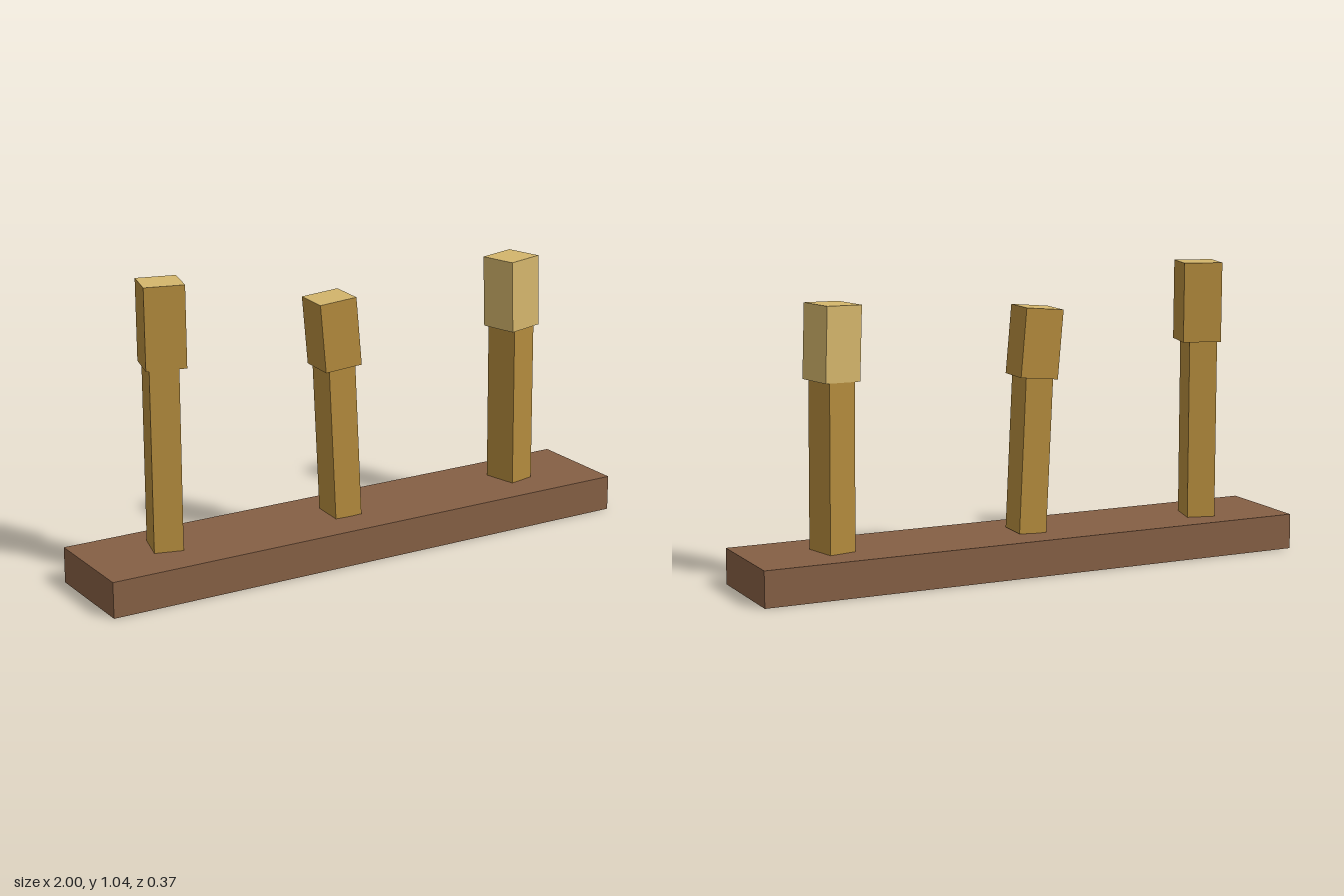
import * as THREE from 'three';

const mat = (name, color) =>
  new THREE.MeshStandardMaterial({ name, color, side: THREE.DoubleSide });

// Box standing on its own origin, open at the bottom; group 0 = sides, group 1 = top
function openBox(w, h, d) {
  const geo = new THREE.BoxGeometry(w, h, d).translate(0, h / 2, 0);
  const idx = Array.from(geo.index.array);
  idx.splice(18, 6); // drop the bottom face
  geo.setIndex(idx);
  geo.clearGroups();
  geo.addGroup(0, 12, 0);
  geo.addGroup(12, 6, 1);
  geo.addGroup(18, 12, 0);
  return geo;
}

export function createModel() {
  const model = new THREE.Group();
  model.name = 'postsOnPlank';

  const brown = mat('brownWood', 0x855f44);
  const gold = mat('goldenWood', 0xb48b3d);
  const pale = mat('paleWood', 0xd4b66c);
  const deg = THREE.MathUtils.degToRad;

  function addBox(parent, name, size, pos, yaw, tilt, materials) {
    const mesh = new THREE.Mesh(openBox(...size), materials);
    mesh.name = name;
    mesh.position.set(...pos);
    mesh.rotation.set(0, deg(yaw), deg(tilt), 'ZYX'); // turn first, then lean
    parent.add(mesh);
  }

  // Hollow plank
  const baseTop = 0.125;
  addBox(model, 'base', [2, baseTop, 0.374], [0, 0, 0], 0, 0, [brown, brown]);

  // Three leaning posts, each with a wider head
  const posts = [
    { name: 'rightPost', yaw: -15, foot: [-0.704, -0.024], lean: 0.1, height: 0.632,
      neck: [-0.698, 0.755, -0.024], headLean: 0.3, headHeight: 0.28, side: gold },
    { name: 'middlePost', yaw: -3.5, foot: [-0.028, -0.006], lean: 2.7, height: 0.54,
      neck: [-0.05, 0.664, -0.006], headLean: 5.2, headHeight: 0.24, side: gold },
    { name: 'leftPost', yaw: 12.5, foot: [0.694, -0.008], lean: 0.5, height: 0.575,
      neck: [0.688, 0.698, -0.004], headLean: 2, headHeight: 0.254, side: pale },
  ];
  for (const p of posts) {
    const group = new THREE.Group();
    group.name = p.name;
    addBox(group, 'shaft', [0.1, p.height, 0.125], [p.foot[0], baseTop, p.foot[1]],
      p.yaw, p.lean, [gold, pale]);
    addBox(group, 'head', [0.137, p.headHeight, 0.137], p.neck,
      p.yaw, p.headLean, [p.side, pale]);
    model.add(group);
  }
  return model;
}
